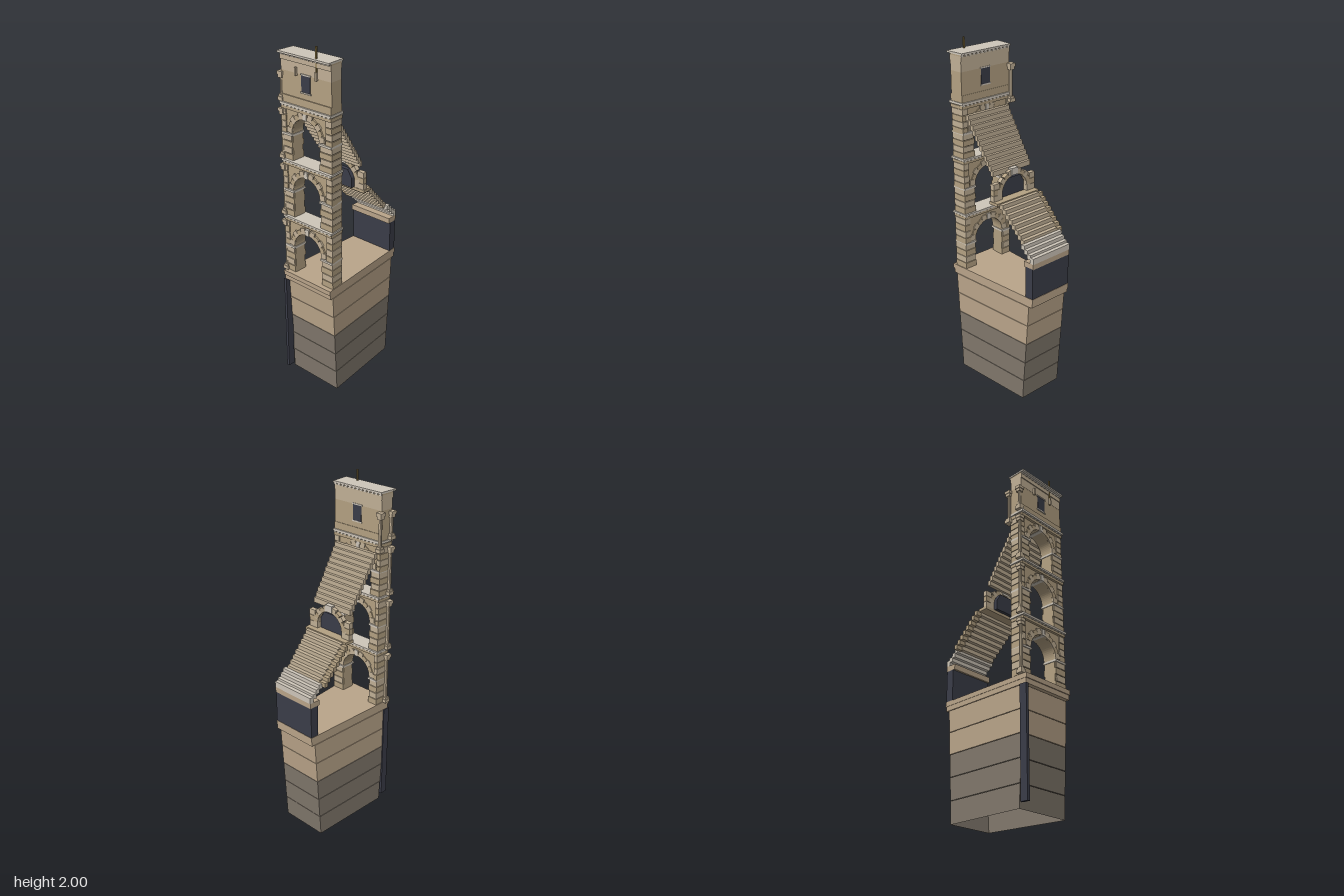
import * as THREE from 'three';

const mat = (color) => new THREE.MeshStandardMaterial({ color, flatShading: true });
const tan = mat(0xc2b197), warm = mat(0xb5a283), pale = mat(0xcfc7ba), floorTan = mat(0xbaa58a);
const grey = mat(0x81786c), slate = mat(0x3b3d49), brass = mat(0x85703f);
grey.side = THREE.DoubleSide;

// The plan is a wedge: its two side edges as functions of z
const edgeL = (z) => -0.153 - 0.038 * z;
const edgeR = (z) => 0.157 + 0.083 * z;

function add(parent, name, geometry, material) {
  const m = new THREE.Mesh(geometry, material);
  m.name = name;
  parent.add(m);
  return m;
}

function box(parent, name, material, x0, x1, y0, y1, z0, z1) {
  const g = new THREE.BoxGeometry(x1 - x0, y1 - y0, z1 - z0);
  g.translate((x0 + x1) / 2, (y0 + y1) / 2, (z0 + z1) / 2);
  return add(parent, name, g, material);
}

// Block following the wedge; x0/x1 fix a side, inset pulls edges in, top gives other z limits on top
function block(parent, name, material, y0, y1, z0, z1, { x0, x1, inset = 0, top = [z0, z1] } = {}) {
  const g = new THREE.BoxGeometry(1, 1, 1);
  const p = g.attributes.position;
  for (let i = 0; i < p.count; i++) {
    const up = p.getY(i) > 0;
    const z = p.getZ(i) > 0 ? (up ? top[1] : z1) : (up ? top[0] : z0);
    const x = p.getX(i) > 0 ? (x1 ?? edgeR(z) - inset) : (x0 ?? edgeL(z) + inset);
    p.setXYZ(i, x, up ? y1 : y0, z);
  }
  g.computeVertexNormals();
  return add(parent, name, g, material);
}

// Ring of radial stones over an arch, alternating in length
function voussoirs(parent, cy, r, z0, z1, count, length) {
  const w = Math.PI * (r + length / 2) / count * 0.95;
  for (let i = 0; i < count; i++) {
    const a = Math.PI * (i + 0.5) / count;
    const len = length * (i % 2 ? 0.8 : 1);
    const g = new THREE.BoxGeometry(len, w, z1 - z0);
    g.translate(r + len / 2, 0, 0).rotateZ(a).translate(0, cy, (z0 + z1) / 2);
    add(parent, 'archStone', g, i % 2 ? warm : tan);
  }
}

// Wall with a round-headed opening reaching its foot
function archWall(parent, y0, y1, z0, z1, spring, r) {
  const s = new THREE.Shape();
  s.moveTo(-0.16, y0).lineTo(-r, y0).lineTo(-r, spring);
  s.absarc(0, spring, r, Math.PI, 0, true);
  s.lineTo(r, y0).lineTo(0.16, y0).lineTo(0.16, y1).lineTo(-0.16, y1);
  const g = new THREE.ExtrudeGeometry(s, { depth: z1 - z0, bevelEnabled: false, curveSegments: 16 });
  g.translate(0, 0, z0);
  const p = g.attributes.position;
  for (let i = 0; i < p.count; i++) {
    const x = p.getX(i), z = p.getZ(i);
    if (Math.abs(x) > 0.155) p.setX(i, x < 0 ? edgeL(z) + 0.004 : edgeR(z) - 0.004);
  }
  g.computeVertexNormals();
  add(parent, 'archWall', g, warm);
}

// Half column with plinth and capital on the cut side
function column(parent, x, z, y0, y1) {
  const g = new THREE.CylinderGeometry(0.009, 0.011, y1 - y0, 10);
  add(parent, 'columnShaft', g, tan).position.set(x, (y0 + y1) / 2, z);
  for (const [h, a, b] of [[0.018, y0, y0 + 0.02], [0.014, y0 + 0.02, y0 + 0.032],
    [0.014, y1 - 0.035, y1 - 0.018], [0.018, y1 - 0.018, y1]]) {
    box(parent, 'columnTrim', tan, x - h, x + h, a, b, z - h, z + h);
  }
}

function cornice(parent, y, h) {
  block(parent, 'corniceBed', warm, y, y + h * 0.5, 0.198, 0.29);
  block(parent, 'corniceLip', pale, y + h * 0.62, y + h, 0.192, 0.297, { inset: -0.004 });
  for (let i = 0; i < 13; i++) {
    const x = -0.152 + i * 0.0265;
    box(parent, 'dentil', pale, x - 0.007, x + 0.007, y + h * 0.45, y + h * 0.65, 0.194, 0.294);
  }
}

export function createModel() {
  const model = new THREE.Group();
  const group = (name) => {
    const g = new THREE.Group();
    g.name = name;
    model.add(g);
    return g;
  };

  // Base: five flaring courses, the lowest hollow underneath
  const base = group('base');
  const step = 0.126;
  for (let i = 0; i < 5; i++) {
    const f = (t) => [-0.24 - 0.008 * t, 0.25 + 0.0065 * t];
    const [z0, z1] = f(i), top = f(i + 0.9);
    const m = block(base, 'baseCourse', i < 3 ? grey : floorTan, i * step, (i + 1) * step - 0.003, z0, z1, { top });
    if (i === 0) m.geometry.setIndex([...m.geometry.index.array].filter((_, k) => k < 18 || k >= 24));
  }
  block(base, 'baseCore', grey, 0.12, 0.63, -0.235, 0.245, { inset: 0.005 });
  block(base, 'floorSlabLower', floorTan, 0.63, 0.658, -0.303, 0.302);
  block(base, 'floorSlab', floorTan, 0.658, 0.685, -0.307, 0.308, { inset: -0.002 });
  box(base, 'cornerPipe', slate, -0.169, -0.152, 0.03, 0.63, 0.264, 0.308);

  // Outer wall: three arched storeys
  const wall = group('outerWall');
  for (const [y0, y1, spring, r] of [[0.685, 1.0, 0.852, 0.1], [1.03, 1.33, 1.192, 0.095], [1.36, 1.64, 1.513, 0.095]]) {
    archWall(wall, y0, y1, 0.206, 0.276, spring, r);
    voussoirs(wall, spring, r, 0.201, 0.285, 11, 0.036);
    const courses = 8, h = (y1 - y0) / courses;
    for (let i = 0; i < courses; i++) {
      const a = y0 + i * h + 0.002, b = a + h - 0.004;
      const inner = a < spring - 0.015 ? r + (i % 2 ? 0.006 : 0) : 0.138;
      const m = i % 2 ? tan : warm;
      block(wall, 'pierStone', m, a, b, 0.2, 0.283, { x1: -inner });
      block(wall, 'pierStone', m, a, b, 0.2, 0.283, { x0: inner });
    }
    block(wall, 'impost', pale, spring - 0.016, spring - 0.004, 0.197, 0.288, { x1: -r + 0.004 });
    block(wall, 'impost', pale, spring - 0.016, spring - 0.004, 0.197, 0.288, { x0: r - 0.004 });
    box(wall, 'keystone', pale, -0.012, 0.012, spring + r - 0.002, spring + r + 0.036, 0.199, 0.289);
    column(wall, -0.168, 0.275, y0, y1 - 0.005);
  }
  cornice(wall, 1.0, 0.03);
  cornice(wall, 1.33, 0.03);
  cornice(wall, 1.64, 0.036);

  // Attic with window, brackets and mast
  const attic = group('attic');
  block(attic, 'atticFoot', warm, 1.676, 1.715, 0.2, 0.287);
  block(attic, 'atticWall', warm, 1.715, 1.84, 0.203, 0.281);
  block(attic, 'atticUpper', tan, 1.84, 1.895, 0.203, 0.282);
  block(attic, 'topMoulding', tan, 1.895, 1.922, 0.2, 0.287);
  block(attic, 'topLip', pale, 1.93, 1.94, 0.192, 0.305, { inset: -0.003 });
  block(attic, 'topCore', warm, 1.922, 1.93, 0.203, 0.283);
  for (let i = 0; i < 13; i++) {
    const x = -0.152 + i * 0.0265;
    box(attic, 'topDentil', pale, x - 0.008, x + 0.008, 1.92, 1.931, 0.197, 0.292);
  }
  box(attic, 'window', slate, -0.021, 0.039, 1.752, 1.838, 0.201, 0.284);
  box(attic, 'windowSill', pale, -0.026, 0.044, 1.745, 1.752, 0.2, 0.287);
  box(attic, 'windowHead', pale, -0.026, 0.044, 1.838, 1.845, 0.2, 0.287);
  for (const x of [-0.054, 0.085]) box(attic, 'mastBracket', tan, x - 0.005, x + 0.005, 1.83, 1.872, 0.28, 0.294);
  box(attic, 'mast', brass, 0.081, 0.089, 1.83, 2.0, 0.28, 0.288);
  column(attic, -0.168, 0.275, 1.676, 1.83);
  column(attic, -0.164, 0.192, 1.62, 1.835);

  // Arena wall at the back with its ledge and front rows
  const arena = group('arenaWall');
  block(arena, 'arenaPanel', slate, 0.685, 0.87, -0.305, -0.255);
  block(arena, 'arenaLedge', floorTan, 0.868, 0.9, -0.308, -0.243);
  for (let i = 0; i < 4; i++) {
    const z = -0.31 + i * 0.0215, y = 0.9 + i * 0.021;
    block(arena, 'frontRow', pale, y, y + (i ? 0.027 : 0.034), z, z + 0.024);
  }

  // Lower seats with a small stair beside them, then the landing
  const lower = group('lowerSeats');
  for (let i = 0; i < 8; i++) {
    const z = -0.225 + i * 0.0219, y = 0.978 + i * 0.0228;
    block(lower, 'seatRow', tan, y, y + 0.028, z, z + 0.026, { inset: 0.017 });
    const x = edgeL(z);
    box(lower, 'sideStep', warm, -0.167, x + 0.02, y - 0.005, y + 0.022, z, z + 0.022);
  }
  block(lower, 'landing', warm, 1.155, 1.172, -0.052, 0.008);

  // Arched doorway between the two banks of seats
  const gate = group('middleGate');
  for (let i = 0; i < 3; i++) {
    const a = 1.172 + i * 0.034, m = i % 2 ? warm : tan, inner = i < 2 ? 0.09 : 0.11;
    block(gate, 'gatePier', m, a, a + 0.032, -0.02, 0.006, { x1: -inner, inset: 0.004 });
    block(gate, 'gatePier', m, a, a + 0.032, -0.02, 0.006, { x0: inner, inset: 0.004 });
  }
  voussoirs(gate, 1.202, 0.09, -0.02, 0.006, 11, 0.034);
  box(gate, 'gateKeystone', pale, -0.02, 0.026, 1.294, 1.334, -0.025, 0.008);
  const d = new THREE.Shape();
  d.moveTo(-0.086, 1.172).lineTo(0.086, 1.172).lineTo(0.086, 1.23).lineTo(0.058, 1.273);
  d.lineTo(-0.058, 1.273).lineTo(-0.086, 1.23);
  const dg = new THREE.ExtrudeGeometry(d, { depth: 0.026, bevelEnabled: false });
  add(gate, 'gateDoor', dg.translate(0, 0, 0.001), slate);

  // Upper seats rising to the outer wall
  const upper = group('upperSeats');
  for (let i = 0; i < 12; i++) {
    const z = 0.0 + i * 0.0162, y = 1.308 + i * 0.0245;
    block(upper, 'seatRow', tan, y, y + 0.03, z, z + 0.02, { inset: 0.02 });
  }
  return model;
}
